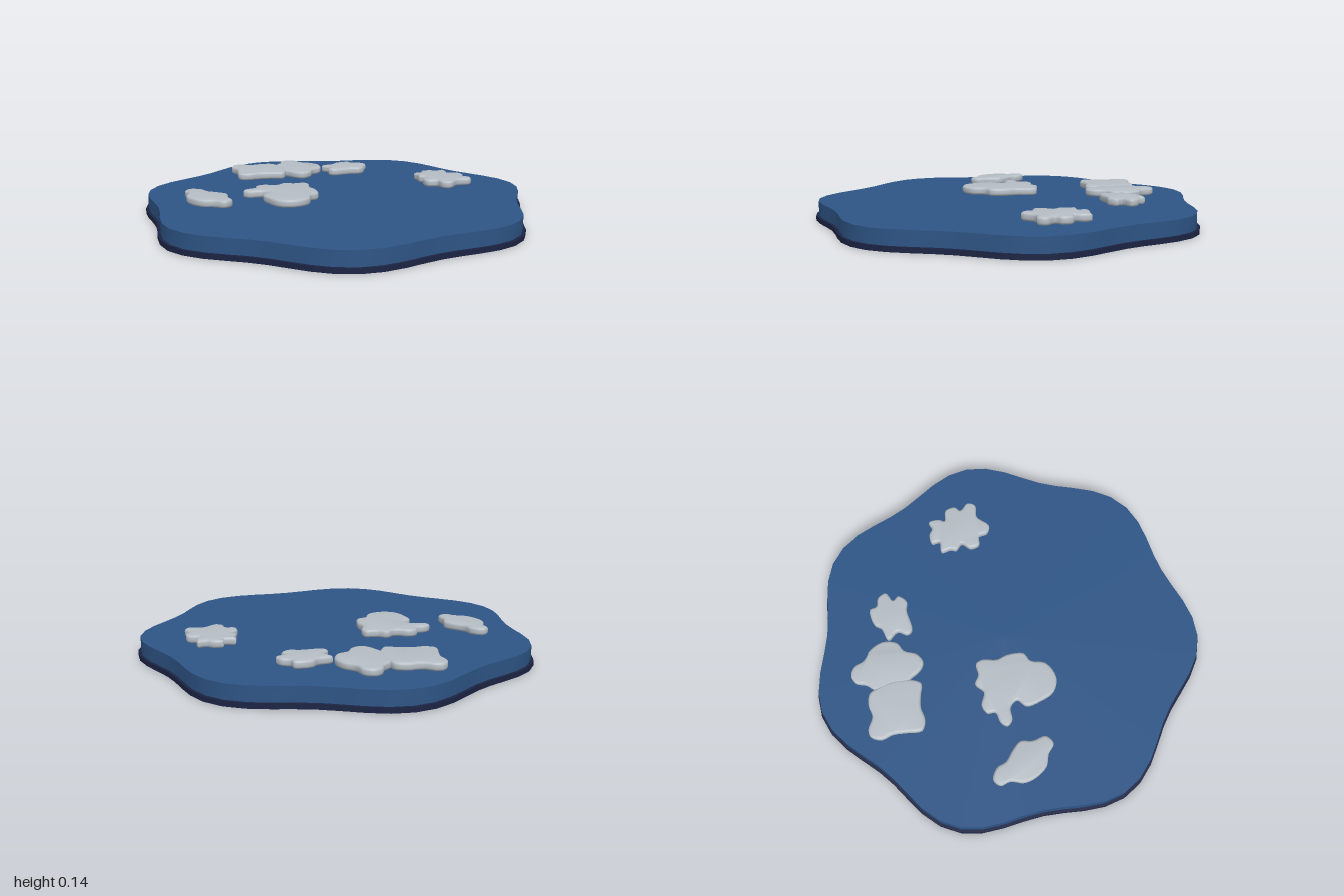
import * as THREE from 'three';
import { toCreasedNormals } from 'three/addons/utils/BufferGeometryUtils.js';

const water = new THREE.MeshStandardMaterial({ color: 0x2e5586 });
water.name = 'deep blue';
const navy = new THREE.MeshStandardMaterial({ color: 0x1c2444 });
navy.name = 'dark navy';
const stone = new THREE.MeshStandardMaterial({ color: 0xb6bec5 });
stone.name = 'pale grey';

const CENTRE_X = -0.035;

// Seven-lobed disc: a cylinder whose rim radius follows a cosine wave
function lobedDisc(name, inset, bottom, top, material) {
  const geo = new THREE.CylinderGeometry(1, 1, top - bottom, 60);
  const p = geo.attributes.position;
  for (let i = 0; i < p.count; i++) {
    const x = p.getX(i), z = p.getZ(i);
    const r = Math.hypot(x, z) * (0.978 - inset + 0.043 * Math.cos(7 * Math.atan2(z, x)));
    const a = Math.atan2(z, x);
    p.setXYZ(i, r * Math.cos(a) + CENTRE_X, p.getY(i), r * Math.sin(a));
  }
  const mesh = new THREE.Mesh(toCreasedNormals(geo, Math.PI / 4), material);
  mesh.position.y = (bottom + top) / 2;
  mesh.name = name;
  return mesh;
}

// Rounded flat slab whose outline is a smooth closed curve through x, z pairs
function patch(name, height, xz) {
  const points = [];
  for (let i = 0; i < xz.length; i += 2) points.push(new THREE.Vector3(xz[i], -xz[i + 1], 0));
  const curve = new THREE.CatmullRomCurve3(points, true);
  const outline = curve.getPoints(points.length * 4).slice(0, -1);
  const shape = new THREE.Shape(outline.map((v) => new THREE.Vector2(v.x, v.y)));
  const bevel = 0.012;
  const geo = new THREE.ExtrudeGeometry(shape, {
    depth: height - 2 * bevel, bevelThickness: bevel, bevelSize: bevel, bevelOffset: -bevel, bevelSegments: 3,
  });
  geo.rotateX(-Math.PI / 2);
  geo.translate(0, 0.1 + bevel, 0);
  const mesh = new THREE.Mesh(toCreasedNormals(geo, Math.PI / 4), stone);
  mesh.name = name;
  return mesh;
}

export function createModel() {
  const model = new THREE.Group();
  model.name = 'lobedPlate';

  // Dark base and the blue slab on it
  model.add(lobedDisc('base', 0, 0, 0.025, navy));
  model.add(lobedDisc('slab', 0.015, 0.025, 0.1, water));

  // Raised patches
  model.add(patch('rightPatch', 0.04, [
    -.80, -.18, -.765, -.21, -.71, -.18, -.69, -.13, -.64, -.085, -.605, -.04, -.615, .02,
    -.605, .09, -.65, .12, -.695, .085, -.755, .06, -.80, -.01, -.81, -.065, -.79, -.13]));
  model.add(patch('middlePatch', 0.04, [
    -.515, -.085, -.49, -.115, -.435, -.13, -.43, -.17, -.385, -.19, -.32, -.165, -.27, -.2, -.225, -.175,
    -.165, -.175, -.15, -.14, -.165, -.065, -.15, -.01, -.16, .075, -.205, .1, -.235, .175,
    -.32, .21, -.39, .18, -.425, .1, -.435, .03, -.395, -.01, -.425, -.05, -.49, -.055]));
  model.add(patch('backRightPatch', 0.04, [
    -.455, -.71, -.43, -.76, -.39, -.765, -.33, -.735, -.27, -.745, -.21, -.73, -.19, -.69, -.17, -.6,
    -.185, -.5, -.21, -.465, -.27, -.48, -.33, -.49, -.40, -.48, -.45, -.505, -.445, -.58, -.44, -.65]));
  model.add(patch('backCentrePatch', 0.039, [
    -.1, -.81, -.055, -.79, -.03, -.73, .02, -.69, .05, -.62, .03, -.55, -.02, -.52, -.05, -.46,
    -.1, -.435, -.14, -.46, -.17, -.51, -.19, -.54, -.185, -.61, -.2, -.69, -.16, -.74, -.14, -.79]));
  model.add(patch('backLeftPatch', 0.04, [
    .055, -.59, .125, -.615, .15, -.645, .21, -.66, .24, -.655, .25, -.62, .295, -.605, .315, -.56,
    .265, -.53, .285, -.5, .245, -.46, .2, -.47, .085, -.46, .065, -.49, .09, -.535]));
  model.add(patch('leftPatch', 0.04, [
    .495, -.18, .49, -.23, .55, -.23, .55, -.27, .6, -.275, .635, -.255, .675, -.265, .68, -.21,
    .665, -.18, .725, -.165, .735, -.11, .71, -.085, .745, -.04, .725, 0, .655, -.005,
    .59, .05, .55, .03, .54, -.015, .49, -.025, .48, -.075, .515, -.115, .485, -.15]));

  return model;
}
